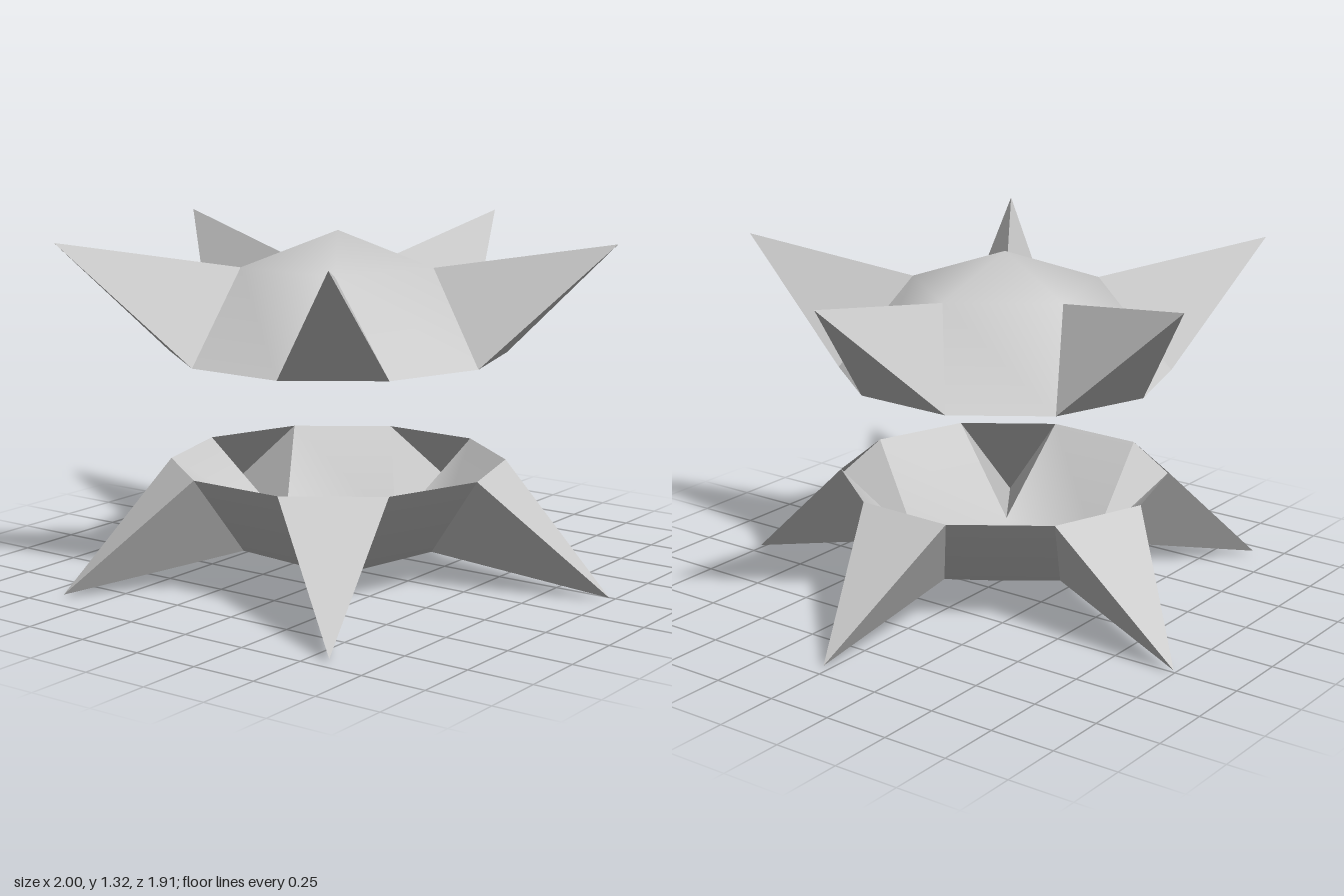
import * as THREE from 'three';

const SIDES = 5;
const MID_Y = 0.66;               // mirror plane between the two shells
const CENTRE = [-0.01, 0.09];     // x, z of the vertical axis
const TWIST = 1.4;                // degrees
// radius and height above the mirror plane
const APEX = [0, 0.66], SHOULDER = [0.37, 0.535], RIM = [0.63, 0.205], TIP = [1.05, 0.648];

// Point on a ring; k counts fifths of a turn clockwise from the back
function ringPoint([r, h], k, offset, side) {
  const a = THREE.MathUtils.degToRad(TWIST + (k * 360) / SIDES + offset);
  return [CENTRE[0] + r * Math.sin(a), MID_Y + side * h, CENTRE[1] - r * Math.cos(a)];
}

// Triangles wound for the upper shell, reversed for the mirrored one
function buildMesh(name, points, faces, side, flatShading) {
  let geometry = new THREE.BufferGeometry();
  geometry.setAttribute('position', new THREE.Float32BufferAttribute(points.flat(), 3));
  geometry.setIndex(faces.flatMap(([a, b, c]) => (side > 0 ? [a, b, c] : [a, c, b])));
  if (flatShading) geometry = geometry.toNonIndexed();
  geometry.computeVertexNormals();
  const material = new THREE.MeshStandardMaterial({ color: 0xcccccc, side: THREE.DoubleSide, flatShading });
  const mesh = new THREE.Mesh(geometry, material);
  mesh.name = name;
  return mesh;
}

// Smooth open dome: a five-sided cap and five walls, with gaps for the spikes
function createDome(side) {
  const points = [ringPoint(APEX, 0, 0, side)];
  const faces = [];
  for (let k = 0; k < SIDES; k++) {
    points.push(ringPoint(SHOULDER, k, 0, side), ringPoint(RIM, k, -18, side), ringPoint(RIM, k, 18, side));
    const c0 = 1 + 3 * k, b0 = c0 + 2;
    const c1 = 1 + 3 * ((k + 1) % SIDES), a1 = c1 + 1;
    faces.push([0, c1, c0], [c1, a1, b0], [c1, b0, c0]);
  }
  return buildMesh('dome', points, faces, side, false);
}

// Hollow three-sided spike, open towards the inside of the dome
function createSpike(k, side) {
  const points = [
    ringPoint(SHOULDER, k, 0, side),
    ringPoint(RIM, k, -18, side),
    ringPoint(RIM, k, 18, side),
    ringPoint(TIP, k, 0, side),
  ];
  return buildMesh('spike' + (k + 1), points, [[0, 2, 3], [2, 1, 3], [1, 0, 3]], side, true);
}

function createShell(name, side) {
  const shell = new THREE.Group();
  shell.name = name;
  shell.add(createDome(side));
  for (let k = 0; k < SIDES; k++) shell.add(createSpike(k, side));
  return shell;
}

export function createModel() {
  const model = new THREE.Group();
  model.name = 'spikedShells';
  model.add(createShell('upperShell', 1), createShell('lowerShell', -1));
  return model;
}
